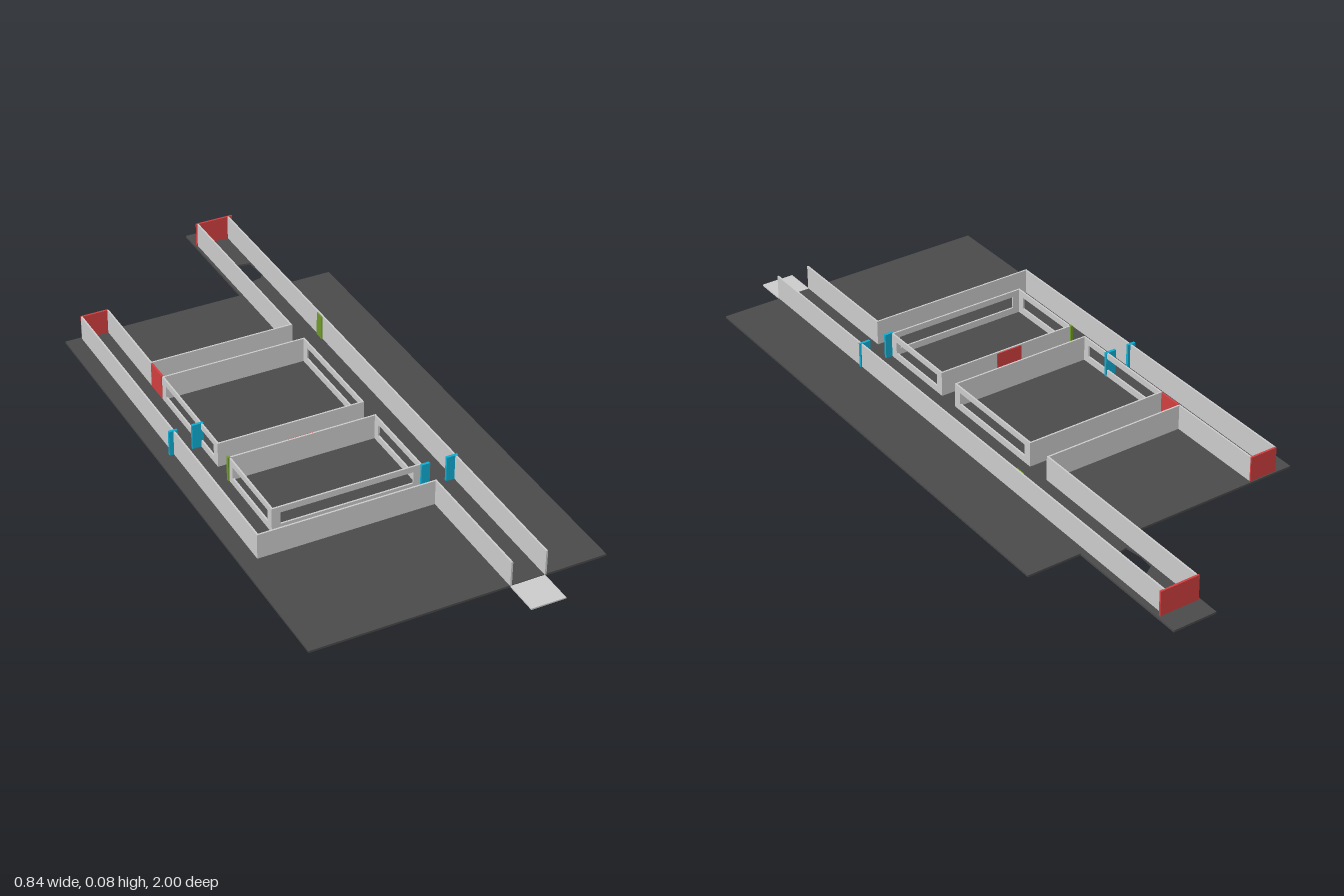
import * as THREE from 'three';

const FLOOR = 0.006, TOP = 0.08, T = 0.005;
const mat = (color) => new THREE.MeshStandardMaterial({ color, flatShading: true });

export function createModel() {
  const model = new THREE.Group();
  const grey = mat(0xcccccc), dark = mat(0x4a4a4a);
  const red = mat(0xd23f3f), cyan = mat(0x10add3), green = mat(0x6f9a2a);

  // Box given by its limits on each axis
  function box(name, x0, x1, y0, y1, z0, z1, material = grey, parent = model) {
    const mesh = new THREE.Mesh(new THREE.BoxGeometry(x1 - x0, y1 - y0, z1 - z0), material);
    mesh.position.set((x0 + x1) / 2, (y0 + y1) / 2, (z0 + z1) / 2);
    mesh.name = name;
    parent.add(mesh);
    return mesh;
  }
  // Thin walls along one axis
  const h = T / 2;
  const wallX = (name, z, x0, x1, y0 = FLOOR, y1 = TOP) => box(name, x0 - h, x1 + h, y0, y1, z - h, z + h);
  const wallZ = (name, x, z0, z1, y0 = FLOOR, y1 = TOP) => box(name, x - h, x + h, y0, y1, z0 - h, z1 + h);

  // Wall with a long window: sill, lintel and end posts
  function windowed(name, wall, at, a, b) {
    wall(name + 'Sill', at, a, b, FLOOR, 0.026);
    wall(name + 'Lintel', at, a, b, 0.062, TOP);
    wall(name + 'Post', at, a, a + 0.02, 0.026, 0.062);
    wall(name + 'Post', at, b - 0.02, b, 0.026, 0.062);
  }

  // Ground slab with rear walkway, broken through by a ragged hole
  const slab = new THREE.Shape([
    [-0.42, -0.9], [0.42, -0.9], [0.42, 0.62], [0.26, 0.62],
    [0.26, 1], [0.13, 1], [0.13, 0.62], [-0.42, 0.62],
  ].map(([x, y]) => new THREE.Vector2(x, y)));
  slab.holes.push(new THREE.Path([
    [0.145, 0.76], [0.175, 0.78], [0.235, 0.77], [0.24, 0.7], [0.225, 0.68], [0.15, 0.665], [0.142, 0.71],
  ].map(([x, y]) => new THREE.Vector2(x, y))));
  const groundGeo = new THREE.ExtrudeGeometry(slab, { depth: FLOOR, bevelEnabled: false });
  groundGeo.rotateX(-Math.PI / 2);
  const ground = new THREE.Mesh(groundGeo, dark);
  ground.name = 'ground';
  model.add(ground);
  box('entryStep', 0.14, 0.24, 0, 0.004, 0.9, 1);

  // Main corridor
  wallZ('corridorOuterWall', 0.24, -0.93, 0.9);
  wallZ('corridorRearWall', 0.14, -0.93, -0.31);
  wallZ('corridorFrontWall', 0.14, 0.52, 0.9);

  // Side corridor and crossing walls
  wallZ('sideOuterWall', -0.37, -0.61, 0.52);
  wallZ('sideInnerWall', -0.29, -0.61, -0.31);
  wallX('frontWall', 0.52, -0.37, 0.14);
  wallX('rearCrossWall', -0.31, -0.29, 0.14);

  // Two rooms between the corridors
  wallX('rearRoomBackWall', -0.23, -0.29, 0.14);
  wallX('rearRoomFrontWall', 0.12, -0.29, 0.14);
  wallX('frontRoomBackWall', 0.19, -0.29, 0.14);
  windowed('frontRoomFront', wallX, 0.44, -0.29, 0.14);
  for (const x of [-0.29, 0.14]) {
    windowed('rearRoomSide', wallZ, x, -0.23, 0.12);
    windowed('frontRoomSide', wallZ, x, 0.19, 0.44);
  }

  // Red doors
  box('mainEndDoor', 0.135, 0.253, FLOOR, TOP, -0.937, -0.931, red);
  box('sideEndDoor', -0.372, -0.288, FLOOR, TOP, -0.616, -0.61, red);
  box('passageDoor', -0.293, -0.287, FLOOR, TOP, -0.305, -0.235, red);
  box('roomDoor', -0.12, -0.04, FLOOR, 0.078, 0.184, 0.19, red);

  // Blue gateways: a pair of posts across each corridor
  for (const [x0, x1, z] of [[0.138, 0.246, 0.445], [-0.385, -0.285, 0.015]]) {
    const gate = new THREE.Group();
    gate.name = 'gateway';
    box('gatePost', x0, x0 + 0.025, FLOOR, 0.081, z - 0.004, z + 0.004, cyan, gate);
    box('gatePost', x1 - 0.033, x1, FLOOR, 0.081, z - 0.004, z + 0.004, cyan, gate);
    model.add(gate);
  }

  // Green markers
  box('wallMarker', 0.234, 0.238, FLOOR, 0.079, -0.335, -0.305, green);
  box('cornerMarker', -0.296, -0.289, FLOOR, 0.081, 0.184, 0.194, green);

  return model;
}
